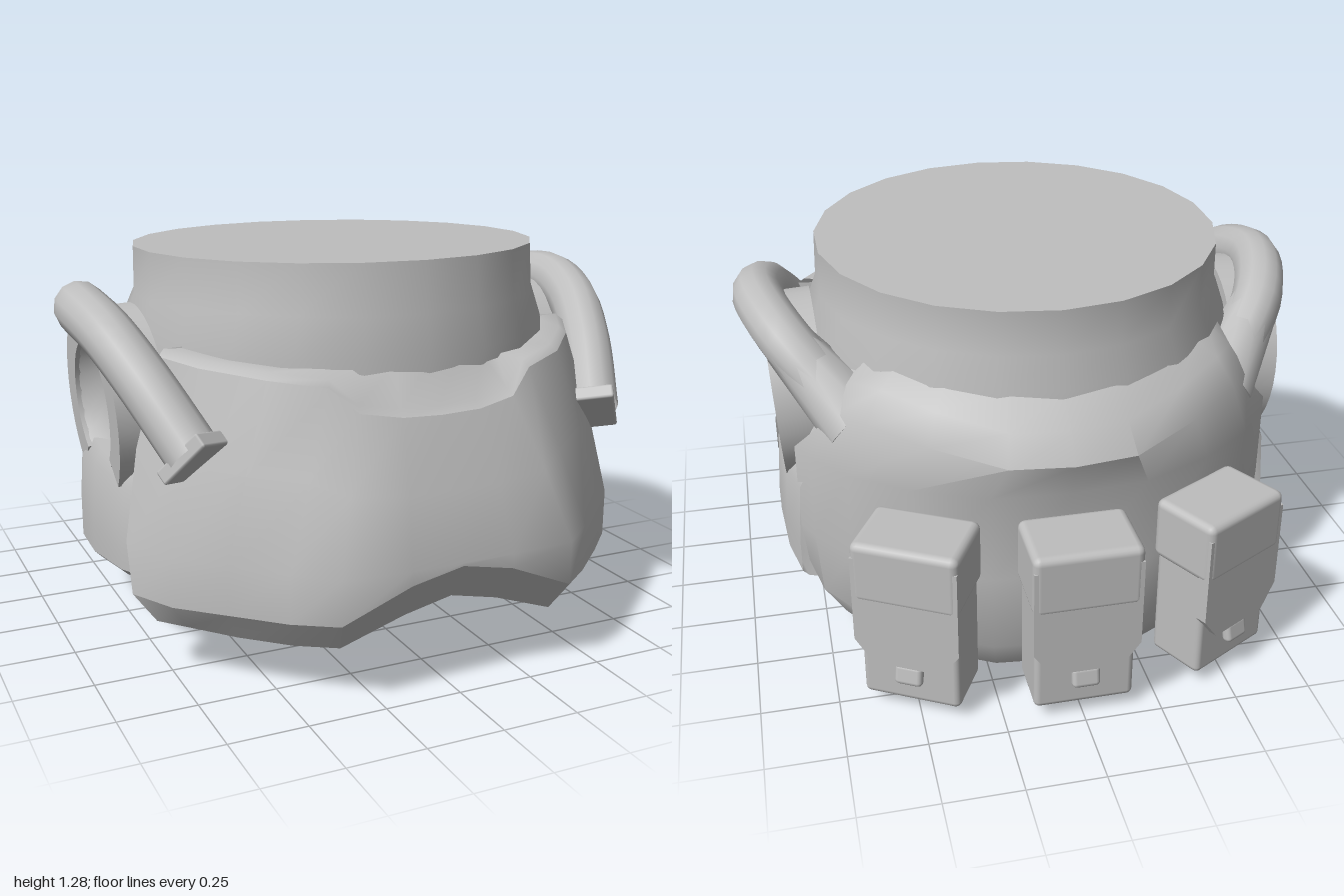
import * as THREE from 'three';
import { toCreasedNormals } from 'three/addons/utils/BufferGeometryUtils.js';
import { RoundedBoxGeometry } from 'three/addons/geometries/RoundedBoxGeometry.js';

const grey = new THREE.MeshStandardMaterial({ color: 0xbebebe, side: THREE.DoubleSide });
grey.name = 'plainGrey';
const V = (x, y, z) => new THREE.Vector3(x, y, z);

function part(name, geometry, parent) {
  const m = new THREE.Mesh(geometry, grey);
  m.name = name;
  parent.add(m);
  return m;
}

// Skin over columns of points; columns run left to right, points top to bottom
function loft(columns, crease = 0.6) {
  const n = columns[0].length, index = [];
  for (let i = 0; i < columns.length - 1; i++)
    for (let j = 0; j < n - 1; j++) {
      const a = i * n + j, b = a + n;
      index.push(a, a + 1, b, b, a + 1, b + 1);
    }
  const g = new THREE.BufferGeometry().setFromPoints(columns.flat());
  g.setIndex(index);
  return toCreasedNormals(g, crease);
}

// Centre-to-side columns become a full mirrored shell with end walls
function mirrored(half, sign) {
  const last = half[half.length - 1].map(p => V(p.x * 0.86, p.y, p.z * 0.97));
  const right = [...half, last];
  const left = right.slice(1).reverse().map(c => c.map(p => V(-p.x, p.y, p.z)));
  const all = [...left, ...right];
  return sign > 0 ? all : all.reverse();
}

// Point on the lower rim of the core in direction (x, z)
function coreRim(x, z) {
  const len = Math.hypot(x, z);
  return V(0.64 * x / len, 0.19 + 0.09 * z / len, 0.05 + 0.7 * z / len);
}

function makeCore() {
  // radius x, centre z, radius z, front y, back y
  const rows = [
    [0, 0.05, 0, 1.265, 1.265], [0.68, 0.05, 0.68, 1.28, 1.25], [0.685, 0.06, 0.685, 1.12, 1.1],
    [0.73, 0.05, 0.72, 1.0, 1.0], [0.7, 0.05, 0.7, 0.6, 0.6], [0.64, 0.05, 0.7, 0.28, 0.1],
    [0, 0.05, 0, 0.19, 0.19]];
  const cols = [];
  for (let i = 0; i <= 22; i++) {
    const a = i / 22 * Math.PI * 2, s = Math.sin(a), c = Math.cos(a);
    cols.push(rows.map(([rx, zc, rz, yf, yb]) =>
      V(rx * s, THREE.MathUtils.lerp(yb, yf, (c + 1) / 2), zc + rz * c)));
  }
  return loft(cols);
}

function makeFrontShell(parent) {
  // rim x, z, y, lower x, z, y, underside y
  const data = [
    [0, 0.85, 0.85, 0, 1.0, 0.41, 0.29],
    [0.13, 0.85, 0.855, 0.17, 1.0, 0.375, 0.255],
    [0.26, 0.825, 0.875, 0.39, 0.985, 0.28, 0.18],
    [0.34, 0.785, 0.95, 0.51, 0.885, 0.27, 0.17],
    [0.5, 0.7, 0.97, 0.65, 0.755, 0.27, 0.17],
    [0.65, 0.53, 0.985, 0.78, 0.62, 0.265, 0.175],
    [0.73, 0.39, 1.0, 0.86, 0.47, 0.265, 0.185]];
  const half = data.map(([x, z, y, lx, lz, ly, by], i) => {
    const mix = (t, out) => V((x + (lx - x) * t) * out, y + (0.4 - y) * t, (z + (lz - z) * t) * out);
    const len = Math.hypot(x, z), edge = i === 6;
    const mid = mix(0.5, 1.012), wide = mix(1, 1);
    wide.y = Math.max(0.42, ly + 0.01);
    if (edge) { mid.z -= 0.06; wide.z -= 0.05; }
    return [
      V(x * 0.7 / len, Math.max(y, 0.97), z * 0.75 / len), V(x * 0.97, y + 0.005, z * 0.97), V(x, y - 0.015, z),
      mid, wide, V(lx, ly, lz), V(lx * 0.93, by, edge ? 0.52 : lz * 0.93), coreRim(lx, lz)];
  });
  // Separate bands keep the rim and lower edge crisp
  const cols = mirrored(half, 1);
  const band = (from, to) => cols.map(c => c.slice(from, to + 1));
  part('frontShellRim', loft(band(0, 2), 0.8), parent);
  part('frontShellFace', loft(band(2, 5), 0.9), parent);
  part('frontShellChamfer', loft(band(5, 6), 0.6), parent);
  part('frontShellUnderside', loft(band(6, 7), 0.6), parent);
}

function makeBackShell() {
  // shoulder x, z, y, wall x, z, bottom y
  const data = [
    [0, -0.815, 0.82, 0, -0.77, 0.0],
    [0.2, -0.79, 0.82, 0.25, -0.75, 0.005],
    [0.42, -0.68, 0.86, 0.48, -0.65, 0.02],
    [0.59, -0.55, 0.89, 0.66, -0.52, 0.035],
    [0.68, -0.44, 0.88, 0.77, -0.38, 0.05],
    [0.76, -0.34, 0.76, 0.81, -0.3, 0.12]];
  const half = data.map(([x, z, y, wx, wz, by]) => {
    const len = Math.hypot(x, z);
    return [
      V(x * 0.66 / len, 0.98 + 0.08 * x, z * 0.66 / len), V(x * 0.92, y + 0.09, z * 0.92), V(x, y, z),
      V(wx, Math.min(0.7, y - 0.05), wz), V(wx, 0.4, wz), V(wx * 0.98, by + 0.13, wz),
      V(wx * 0.89, by, wz * 0.9), coreRim(wx, wz)];
  });
  return loft(mirrored(half, -1), 0.75);
}

function makeSidePanel() {
  // z, outer x, lower y; the underside runs in to the rim of the core
  const data = [[0.49, 0.76, 0.27], [0.3, 0.845, 0.26], [0.04, 0.87, 0.235], [-0.18, 0.855, 0.22], [-0.33, 0.82, 0.21]];
  return loft(data.map(([z, x, y]) => {
    const c = (z - 0.05) / 0.7, wall = Math.sqrt(0.53 - z * z * 0.9);
    return [
      V(wall - 0.06, 1.04, z * 0.8), V(wall, 0.85, z * 0.95), V(wall, 0.62, z * 0.95), V(x - 0.04, 0.61, z),
      V(x - 0.015, 0.56, z), V(x, 0.35, z), V(x, y + 0.02, z), V(x - 0.02, y, z),
      V(0.64 * Math.sqrt(1 - c * c), 0.19 + 0.09 * c, z)];
  }));
}

function makeEar(parent) {
  const ear = new THREE.Group();
  ear.name = 'earMount';
  // Ring open at the bottom
  const s = new THREE.Shape(), from = -0.95, to = 3.85;
  s.absarc(0, 0, 0.32, from, to, false);
  s.absarc(0, 0, 0.215, to, from, true);
  const ring = new THREE.ExtrudeGeometry(s, { depth: 0.17, bevelEnabled: false, curveSegments: 14 });
  part('earRing', toCreasedNormals(ring.translate(0, 0, -0.17), 0.6), ear);
  // Hollow dish inside the ring
  const profile = [0, 0.09, 0.16, 0.2, 0.22].map((r, i) => new THREE.Vector2(r, [-0.11, -0.1, -0.075, -0.04, -0.01][i]));
  part('earDish', new THREE.LatheGeometry(profile, 20).rotateX(Math.PI / 2), ear);
  ear.rotation.y = Math.PI / 2;
  const tilt = new THREE.Group();
  tilt.name = 'earTilt';
  tilt.add(ear);
  tilt.position.set(0.855, 0.76, 0.04);
  tilt.rotation.z = -0.06;
  parent.add(tilt);
}

function makeHandle(parent) {
  const path = new THREE.CatmullRomCurve3([
    V(0.7, 0.73, 0.63), V(0.79, 0.92, 0.44), V(0.85, 1.04, 0.26), V(0.875, 1.085, 0.05),
    V(0.81, 1.035, -0.17), V(0.7, 0.92, -0.3), V(0.61, 0.83, -0.38)]);
  part('handleTube', new THREE.TubeGeometry(path, 24, 0.086, 12, false), parent);
  // Plate closing the front end
  const plate = part('handleEndPlate', new RoundedBoxGeometry(0.15, 0.19, 0.05, 1, 0.008), parent);
  plate.position.copy(path.getPoint(0));
  plate.quaternion.setFromRotationMatrix(
    new THREE.Matrix4().lookAt(path.getPoint(0.1), path.getPoint(0), V(-0.2, 1, 0)));
  // Flared bracket at the rear end
  const a = V(0.8, 1.02, -0.19), b = V(0.6, 0.81, -0.38), dir = b.clone().sub(a);
  const flare = part('handleBracket', toCreasedNormals(new THREE.CylinderGeometry(0.125, 0.084, dir.length(), 10), 0.7), parent);
  flare.position.copy(a).lerp(b, 0.5);
  flare.quaternion.setFromUnitVectors(V(0, 1, 0), dir.normalize());
}

function makePouch(name, x, z, turn) {
  const p = new THREE.Group();
  p.name = name;
  part('pouchBody', new RoundedBoxGeometry(0.32, 0.53, 0.2, 2, 0.02), p).position.set(0, 0.315, -0.01);
  part('pouchLid', new RoundedBoxGeometry(0.345, 0.21, 0.24, 2, 0.025), p).position.set(0, 0.525, 0);
  // Flap with cut lower corners
  const s = new THREE.Shape([[-0.17, 0.58], [-0.17, 0.28], [-0.11, 0.2], [0.11, 0.2], [0.17, 0.28], [0.17, 0.58]]
    .map(q => new THREE.Vector2(...q)));
  part('pouchFlap', new THREE.ExtrudeGeometry(s, { depth: 0.04, bevelEnabled: false }), p).position.z = 0.078;
  // Clip below the flap
  const clip = part('pouchClip', new RoundedBoxGeometry(0.09, 0.07, 0.035, 2, 0.015), p);
  clip.position.set(0, 0.165, 0.1);
  clip.rotation.x = -0.2;
  p.position.set(x, 0, z);
  p.rotation.y = turn;
  return p;
}

export function createModel() {
  const model = new THREE.Group();
  model.name = 'collar';
  part('neckCore', makeCore(), model);
  makeFrontShell(model);
  part('backShell', makeBackShell(), model);
  for (const side of [1, -1]) {
    const g = new THREE.Group();
    g.name = side > 0 ? 'leftSide' : 'rightSide';
    part('sidePanel', makeSidePanel(), g);
    makeEar(g);
    makeHandle(g);
    g.scale.x = side;
    model.add(g);
  }
  model.add(makePouch('backPouch', 0, -0.881, Math.PI));
  model.add(makePouch('leftPouch', 0.485, -0.77, Math.PI - 0.5));
  model.add(makePouch('rightPouch', -0.485, -0.77, Math.PI + 0.5));
  return model;
}
